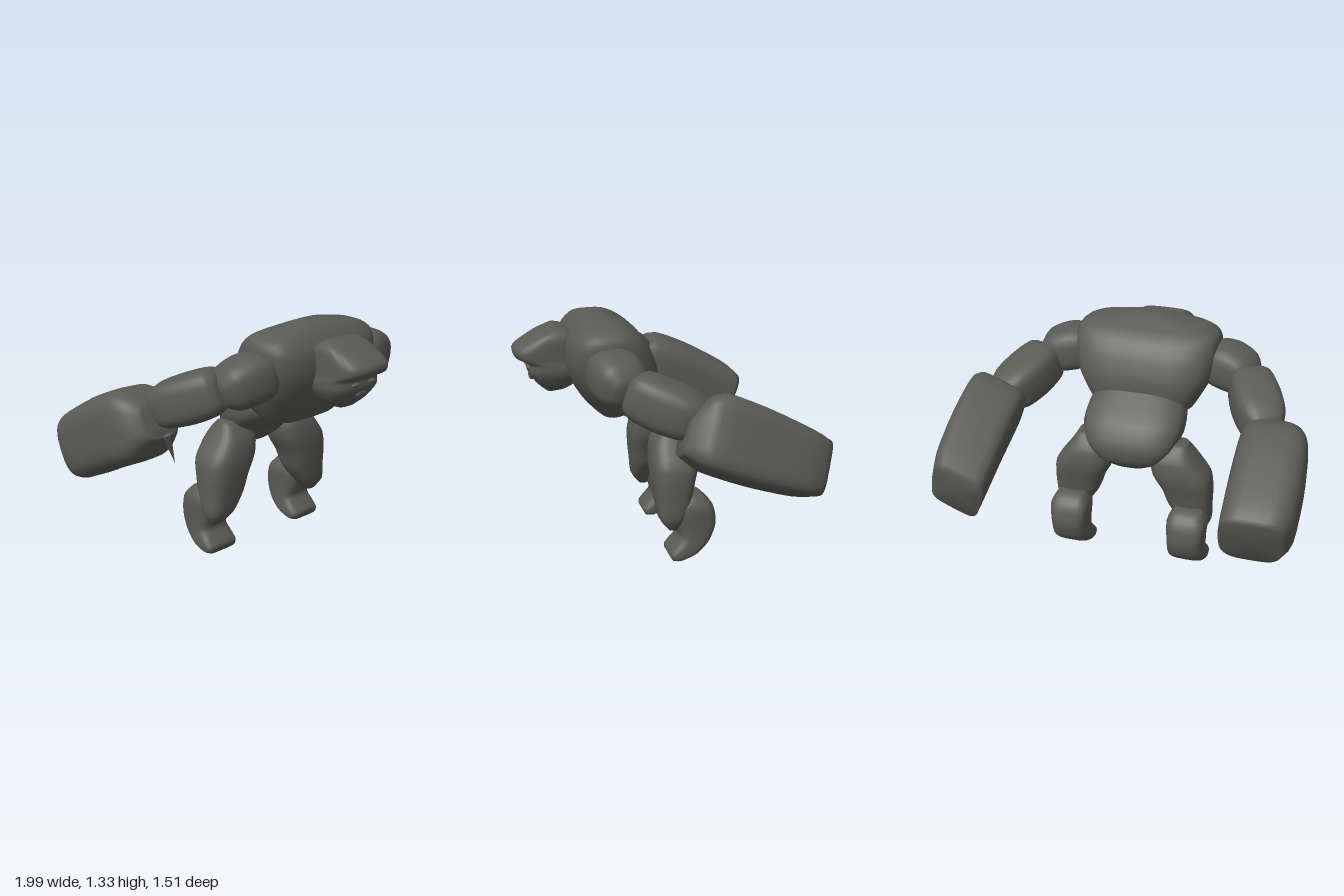
import * as THREE from 'three';

const V = (x, y, z) => new THREE.Vector3(x, y, z);
const SIDES = 28;

// Skin a closed, smooth surface over sections { c, u, v }: centre and two half axes.
// power sets how boxy the sections are (2 = ellipse).
function loft(sections, power = 3, steps = 3) {
  const curves = ['c', 'u', 'v'].map((k) => new THREE.CatmullRomCurve3(sections.map((s) => s[k]), false, 'catmullrom', 0.4));
  const rings = (sections.length - 1) * steps + 1;
  const pos = [], idx = [];
  const soft = (t) => Math.sign(t) * Math.pow(Math.abs(t), 2 / power);
  for (let i = 0; i < rings; i++) {
    const [c, u, v] = curves.map((k) => k.getPoint(i / (rings - 1)));
    for (let j = 0; j < SIDES; j++) {
      const a = (j / SIDES) * Math.PI * 2;
      const p = c.clone().addScaledVector(u, soft(Math.cos(a))).addScaledVector(v, soft(Math.sin(a)));
      pos.push(p.x, p.y, p.z);
    }
  }
  const first = sections[0].c, last = sections[sections.length - 1].c;
  pos.push(first.x, first.y, first.z, last.x, last.y, last.z);
  const capA = rings * SIDES, capB = capA + 1;
  for (let j = 0; j < SIDES; j++) {
    const k = (j + 1) % SIDES, end = (rings - 1) * SIDES;
    for (let i = 0; i < rings - 1; i++) {
      const a = i * SIDES + j, b = i * SIDES + k;
      idx.push(a, b, b + SIDES, a, b + SIDES, a + SIDES);
    }
    idx.push(capA, k, j, capB, end + j, end + k);
  }
  // Turn the faces outward whichever way the sections run
  let volume = 0;
  const at = (i) => V(pos[i * 3], pos[i * 3 + 1], pos[i * 3 + 2]);
  for (let i = 0; i < idx.length; i += 3) volume += at(idx[i]).dot(at(idx[i + 1]).cross(at(idx[i + 2])));
  if (volume < 0) for (let i = 0; i < idx.length; i += 3) [idx[i], idx[i + 1]] = [idx[i + 1], idx[i]];
  const g = new THREE.BufferGeometry();
  g.setAttribute('position', new THREE.Float32BufferAttribute(pos, 3));
  g.setIndex(idx);
  g.computeVertexNormals();
  return g;
}

// Section from its front point, back point and half width: [zf, yf, zb, yb, halfWidth]
const slices = (x, rows) => rows.map(([zf, yf, zb, yb, w]) => ({
  c: V(x, (yf + yb) / 2, (zf + zb) / 2), u: V(w, 0, 0), v: V(0, (yf - yb) / 2, (zf - zb) / 2),
}));

// Sections square to a limb's axis: rows of [x, y, z, halfWidth, halfHeight]
function limb(rows, side, roll = 0) {
  const first = rows[0], last = rows[rows.length - 1];
  const d = V(side * (last[0] - first[0]), last[1] - first[1], last[2] - first[2]).normalize();
  const up = V(0, 1, 0).addScaledVector(d, -d.y).normalize();
  const across = up.clone().cross(d).normalize();
  for (const a of [up, across]) a.applyAxisAngle(V(0, 0, 1), side * roll);
  return rows.map(([x, y, z, w, h]) => ({
    c: V(side * x, y, z), u: across.clone().multiplyScalar(w), v: up.clone().multiplyScalar(h),
  }));
}

export function createModel() {
  const model = new THREE.Group();
  const stone = new THREE.MeshStandardMaterial({ color: 0x5a5b55 });
  stone.name = 'dark stone';
  const add = (name, geometry) => {
    const mesh = new THREE.Mesh(geometry, stone);
    mesh.name = name;
    model.add(mesh);
    return mesh;
  };

  // Trunk, leaning forward
  add('chest', loft(slices(0, [
    [0.24, 0.775, 0.04, 0.86, 0.23],
    [0.30, 0.78, 0.0, 0.90, 0.275],
    [0.39, 0.87, -0.01, 0.98, 0.33],
    [0.45, 0.96, 0.0, 1.06, 0.375],
    [0.49, 1.07, 0.04, 1.16, 0.40],
    [0.49, 1.18, 0.09, 1.23, 0.405],
    [0.46, 1.24, 0.14, 1.27, 0.385],
    [0.42, 1.285, 0.19, 1.295, 0.31],
    [0.38, 1.315, 0.23, 1.315, 0.16],
    [0.34, 1.33, 0.27, 1.33, 0.08],
  ]), 3.4));
  add('pelvis', loft(slices(0, [
    [0.24, 0.82, 0.02, 1.0, 0.25],
    [0.19, 0.77, -0.06, 0.94, 0.275],
    [0.10, 0.72, -0.17, 0.85, 0.28],
    [0.01, 0.66, -0.23, 0.74, 0.24],
    [-0.05, 0.60, -0.215, 0.645, 0.17],
    [-0.09, 0.57, -0.16, 0.585, 0.08],
  ]), 2.8));

  // Head with a heavy brow
  add('head', loft(slices(-0.015, [
    [0.55, 1.26, 0.47, 1.25, 0.12],
    [0.64, 1.22, 0.42, 1.21, 0.16],
    [0.75, 1.15, 0.40, 1.13, 0.165],
    [0.745, 1.10, 0.40, 1.08, 0.165],
    [0.68, 1.07, 0.40, 1.04, 0.17],
    [0.68, 1.02, 0.41, 1.0, 0.165],
    [0.63, 0.95, 0.43, 0.95, 0.13],
    [0.58, 0.905, 0.47, 0.92, 0.07],
  ]), 3.2));
  const bump = (name, x, y, z, sx, sy, sz) => {
    const mesh = add(name, new THREE.SphereGeometry(1, 14, 10));
    mesh.position.set(x, y, z);
    mesh.scale.set(sx, sy, sz);
  };
  bump('rightEye', -0.075, 1.045, 0.67, 0.035, 0.014, 0.018);
  bump('leftEye', 0.045, 1.045, 0.67, 0.035, 0.014, 0.018);
  bump('nose', -0.015, 0.99, 0.655, 0.045, 0.025, 0.018);

  for (const side of [1, -1]) {
    const isLeft = side > 0;
    const tag = isLeft ? 'left' : 'right';

    // Arms
    add(tag + 'Shoulder', loft(limb([
      [0.33, 1.10, 0.31, 0.10, 0.08],
      [0.38, 1.09, 0.30, 0.13, 0.12],
      [0.46, 1.075, 0.28, 0.14, 0.13],
      [0.56, 1.045, 0.255, 0.125, 0.115],
      [0.62, 1.02, 0.235, 0.07, 0.06],
    ], side), 2.8));
    const lift = isLeft ? 0 : 0.015;
    add(tag + 'Forearm', loft(limb([
      [0.57, 1.02 + lift, 0.235, 0.08, 0.08],
      [0.595, 1.01 + lift, 0.19, 0.12, 0.12],
      [0.65, 0.965 + lift, 0.08, 0.135, 0.13],
      [0.71, 0.92 + lift, -0.04, 0.125, 0.12],
      [0.75, 0.89 + lift, -0.12, 0.08, 0.08],
    ], side), 3.2));

    // Legs: a bulky thigh tapering over the knee, then a curled shin and foot
    const shift = isLeft ? 0 : 0.015;
    const ring = (x, y, z, w, d) => ({ c: V(side * (x + shift), y, z), u: V(w, 0, 0), v: V(0, 0, d) });
    add(tag + 'Thigh', loft([
      ring(0.255, 0.745, -0.07, 0.05, 0.05),
      ring(0.24, 0.71, -0.07, 0.085, 0.085),
      ring(0.235, 0.65, -0.07, 0.13, 0.12),
      ring(0.275, 0.55, -0.065, 0.16, 0.13),
      ring(0.308, 0.45, -0.055, 0.14, 0.115),
      ring(0.325, 0.35, -0.05, 0.122, 0.098),
      ring(0.36, 0.25, -0.035, 0.085, 0.068),
      ring(0.375, 0.185, -0.04, 0.035, 0.025),
    ], 3));
    add(tag + 'Foot', loft(slices(side * (0.335 + shift), [
      [-0.13, 0.38, -0.21, 0.37, 0.075],
      [-0.06, 0.31, -0.265, 0.31, 0.11],
      [-0.06, 0.21, -0.285, 0.21, 0.105],
      [-0.08, 0.14, -0.25, 0.11, 0.105],
      [-0.045, 0.09, -0.18, 0.04, 0.112],
      [-0.02, 0.055, -0.09, 0.005, 0.108],
      [-0.02, 0.035, -0.04, 0.005, 0.09],
    ]), 3.4));
  }

  // Massive club hands, each rolled a little differently
  add('leftHand', loft(limb([
    [0.765, 0.83, 0.01, 0.10, 0.09],
    [0.775, 0.845, -0.04, 0.135, 0.135],
    [0.79, 0.85, -0.13, 0.165, 0.195],
    [0.80, 0.76, -0.36, 0.168, 0.195],
    [0.795, 0.66, -0.60, 0.16, 0.17],
    [0.775, 0.615, -0.71, 0.14, 0.145],
  ], 1, 0.38), 4.5));
  add('rightHand', loft(limb([
    [0.78, 0.87, -0.02, 0.10, 0.09],
    [0.79, 0.865, -0.07, 0.15, 0.135],
    [0.80, 0.83, -0.16, 0.18, 0.195],
    [0.807, 0.745, -0.36, 0.19, 0.20],
    [0.805, 0.63, -0.59, 0.185, 0.19],
    [0.785, 0.59, -0.68, 0.16, 0.16],
  ], -1, 0), 3.4));

  // Stone splinter under the right wrist
  const splinter = add('splinter', new THREE.ConeGeometry(0.025, 0.17, 5));
  splinter.position.set(-0.75, 0.715, 0.02);
  splinter.rotation.z = Math.PI + 0.3;

  return model;
}
